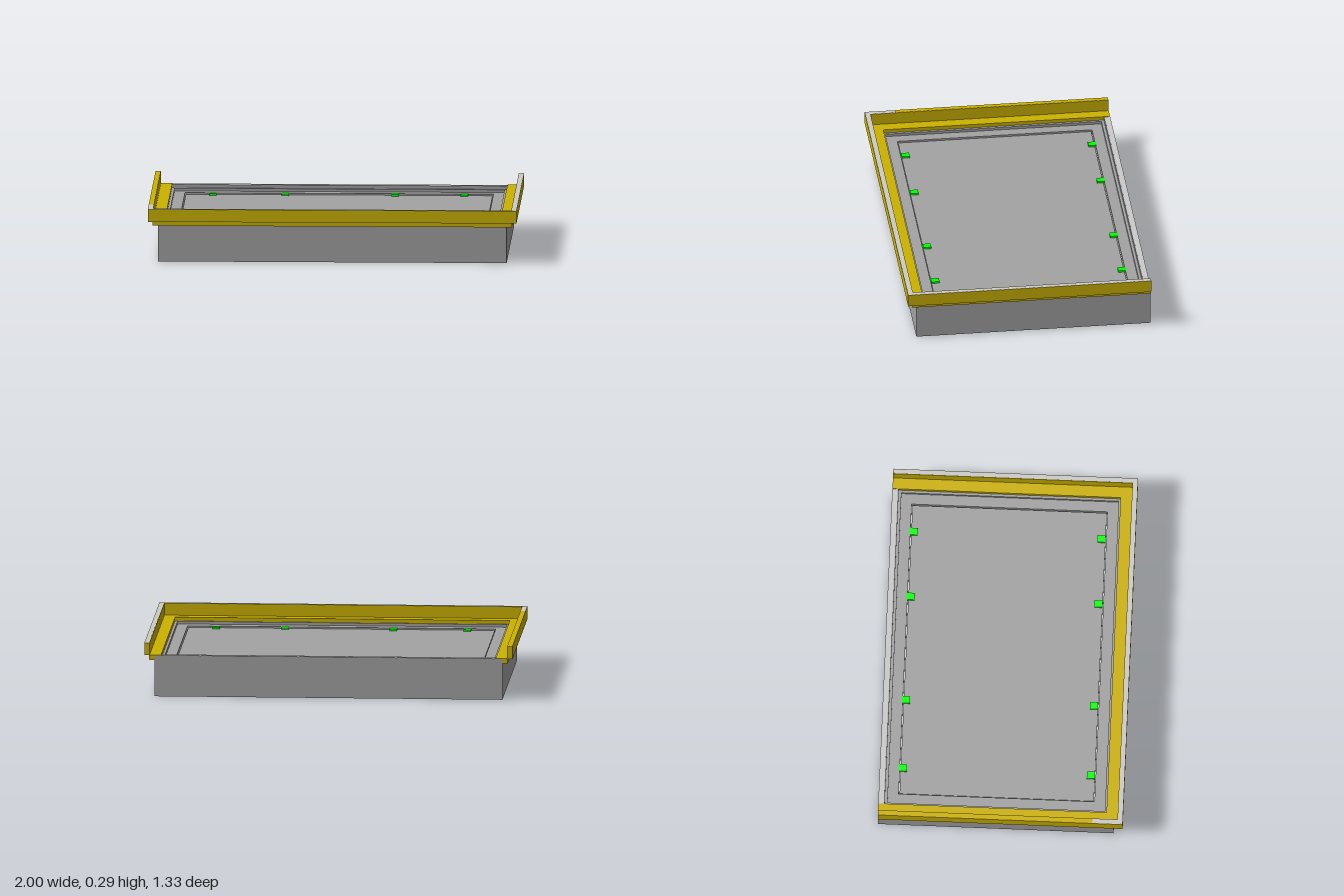
import * as THREE from 'three';

const paint = (color) => new THREE.MeshStandardMaterial({ color, flatShading: true });
const light = paint(0xcccccc);
const grey = paint(0xa3a3a3);
const gold = paint(0xccb200);
const green = paint(0x00ff00);

// Box given by its limits on each axis
function block(name, material, [x0, x1], [y0, y1], [z0, z1]) {
  const mesh = new THREE.Mesh(new THREE.BoxGeometry(x1 - x0, y1 - y0, z1 - z0), material);
  mesh.position.set((x0 + x1) / 2, (y0 + y1) / 2, (z0 + z1) / 2);
  mesh.name = name;
  return mesh;
}

// Sweeps a closed profile of [inset, height] around a rectangle with mitred corners
function rectangularFrame(name, material, profile, halfWidth, back, front) {
  const corners = (d) => [
    [halfWidth - d, front - d], [halfWidth - d, back + d],
    [-halfWidth + d, back + d], [-halfWidth + d, front - d],
  ];
  const points = [];
  profile.forEach(([d0, y0], i) => {
    const [d1, y1] = profile[(i + 1) % profile.length];
    const low = corners(d0), high = corners(d1);
    for (let k = 0; k < 4; k++) {
      const n = (k + 1) % 4;
      const a = [low[k][0], y0, low[k][1]], b = [low[n][0], y0, low[n][1]];
      const c = [high[n][0], y1, high[n][1]], d = [high[k][0], y1, high[k][1]];
      points.push(...a, ...b, ...c, ...a, ...c, ...d);
    }
  });
  const geometry = new THREE.BufferGeometry();
  geometry.setAttribute('position', new THREE.Float32BufferAttribute(points, 3));
  geometry.computeVertexNormals();
  const mesh = new THREE.Mesh(geometry, material);
  mesh.name = name;
  return mesh;
}

export function createModel() {
  const model = new THREE.Group();
  model.name = 'framedPanel';

  // Stepped box frame, and the paler lining of its lower opening
  const frameProfile = [
    [0, 0], [0, 0.225], [0.035, 0.225], [0.035, 0.207], [0.05, 0.207], [0.05, 0.192],
    [0.108, 0.192], [0.108, 0.02], [0.1, 0.008], [0.09, 0],
  ];
  const liningProfile = [
    [0.104, 0.02], [0.104, 0.16], [0.118, 0.16], [0.118, 0.07], [0.11, 0.04], [0.11, 0.02],
  ];
  model.add(
    rectangularFrame('boxFrame', grey, frameProfile, 0.945, -0.665, 0.614),
    rectangularFrame('openingLining', light, liningProfile, 0.945, -0.665, 0.614),
    block('backRimCap', light, [-0.9085, 0.9085], [0.22, 0.2256], [-0.6645, -0.6355]),
  );

  // Panel with a narrow gap around it, and boards on its underside
  model.add(block('panel', grey, [-0.832, 0.832], [0.16, 0.184], [-0.552, 0.502]));
  const boards = new THREE.Group();
  boards.name = 'undersideBoards';
  const count = 6, pitch = 1.66 / count;
  for (let i = 0; i < count; i++) {
    const x = -0.83 + i * pitch;
    boards.add(block('board', grey, [x + 0.001, x + pitch - 0.001], [0.15, 0.161], [-0.55, 0.5]));
  }
  model.add(boards);

  // Thin clips holding the panel along the front and back
  for (const z of [-0.54, 0.48]) {
    for (const x of [-0.685, z < 0 ? -0.292 : -0.283, 0.305, 0.68]) {
      model.add(block('clip', green, [x - 0.02, x + 0.02], [0.182, 0.194], [z - 0.022, z + 0.022]));
    }
  }

  // Side mouldings: flange, upright core and its facings
  for (const s of [-1, 1]) {
    const side = (a, b) => (s > 0 ? [a, b] : [-b, -a]);
    const rail = new THREE.Group();
    rail.name = s > 0 ? 'leftMoulding' : 'rightMoulding';
    rail.add(
      block('flange', gold, side(0.909, 0.974), [0.2, 0.2275], [-0.664, 0.64]),
      block('uprightCore', light, side(0.974, 0.998), [0.225, 0.2935], [-0.66, 0.662]),
      block('outerFacing', gold, side(0.997, 1), [0.225, 0.293], [-0.662, 0.665]),
      block('innerFacing', gold, side(0.971, 0.975), [0.225, 0.293], [-0.662, 0.64]),
      block('endFacing', gold, side(0.972, 0.999), [0.226, 0.293], [-0.663, -0.659]),
    );
    if (s < 0) rail.add(block('topFacing', gold, side(0.972, 1), [0.291, 0.294], [-0.662, 0.5]));
    model.add(rail);
  }

  // Front moulding with the same section
  const front = new THREE.Group();
  front.name = 'frontMoulding';
  front.add(
    block('flange', gold, [-0.9735, 0.9735], [0.2002, 0.2276], [0.574, 0.6405]),
    block('uprightCore', light, [-0.997, 0.997], [0.2251, 0.2936], [0.639, 0.663]),
    block('outerFacing', gold, [-0.9995, 0.9995], [0.2252, 0.2931], [0.662, 0.6652]),
    block('innerFacing', gold, [-0.972, 0.972], [0.2252, 0.2931], [0.636, 0.64]),
  );
  model.add(front);

  return model;
}
